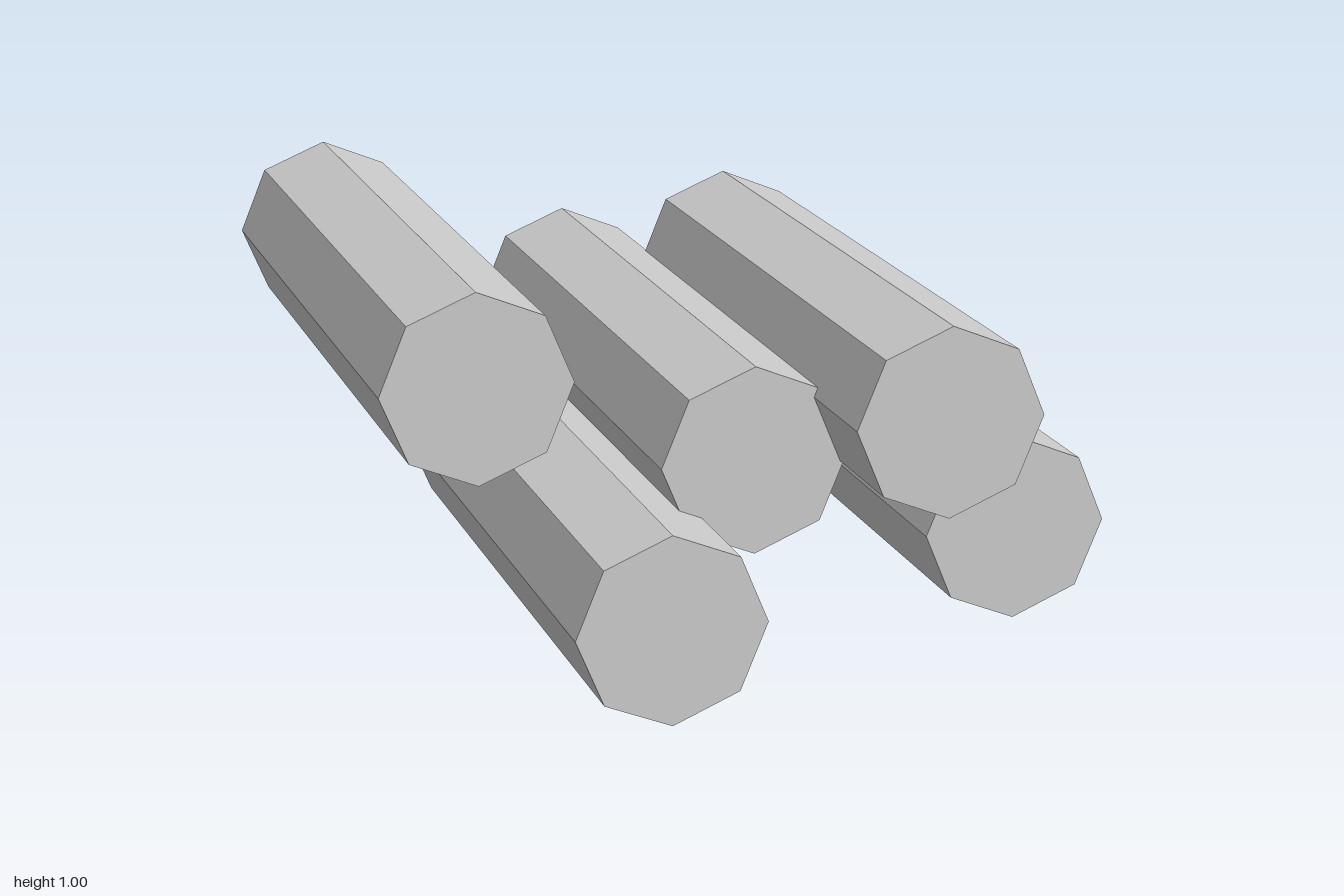
import * as THREE from 'three';

const RADIUS = 0.233;
const LENGTH = 1.705;
const SHIFT = 1 - LENGTH / 2; // how far each log slides forward or back

// Centre of each log in x and y, and the direction it slides along z
const LOGS = [
  { name: 'upperRightLog', x: -0.677, y: 0.767, slide: -1 },
  { name: 'lowerRightLog', x: -0.297, y: 0.238, slide: 1 },
  { name: 'middleLog', x: 0, y: 0.533, slide: -1 },
  { name: 'upperLeftLog', x: 0.38, y: 0.678, slide: 1 },
  { name: 'lowerLeftLog', x: 0.675, y: 0.298, slide: -1 },
];

export function createModel() {
  const group = new THREE.Group();
  group.name = 'logs';

  // Eight-sided log lying along z, with a corner at the top
  const geometry = new THREE.CylinderGeometry(RADIUS, RADIUS, LENGTH, 8);
  geometry.rotateX(Math.PI / 2);
  const material = new THREE.MeshStandardMaterial({ color: 0xcccccc, flatShading: true });

  for (const { name, x, y, slide } of LOGS) {
    const log = new THREE.Mesh(geometry, material);
    log.name = name;
    log.position.set(x, y, slide * SHIFT);
    group.add(log);
  }
  return group;
}
